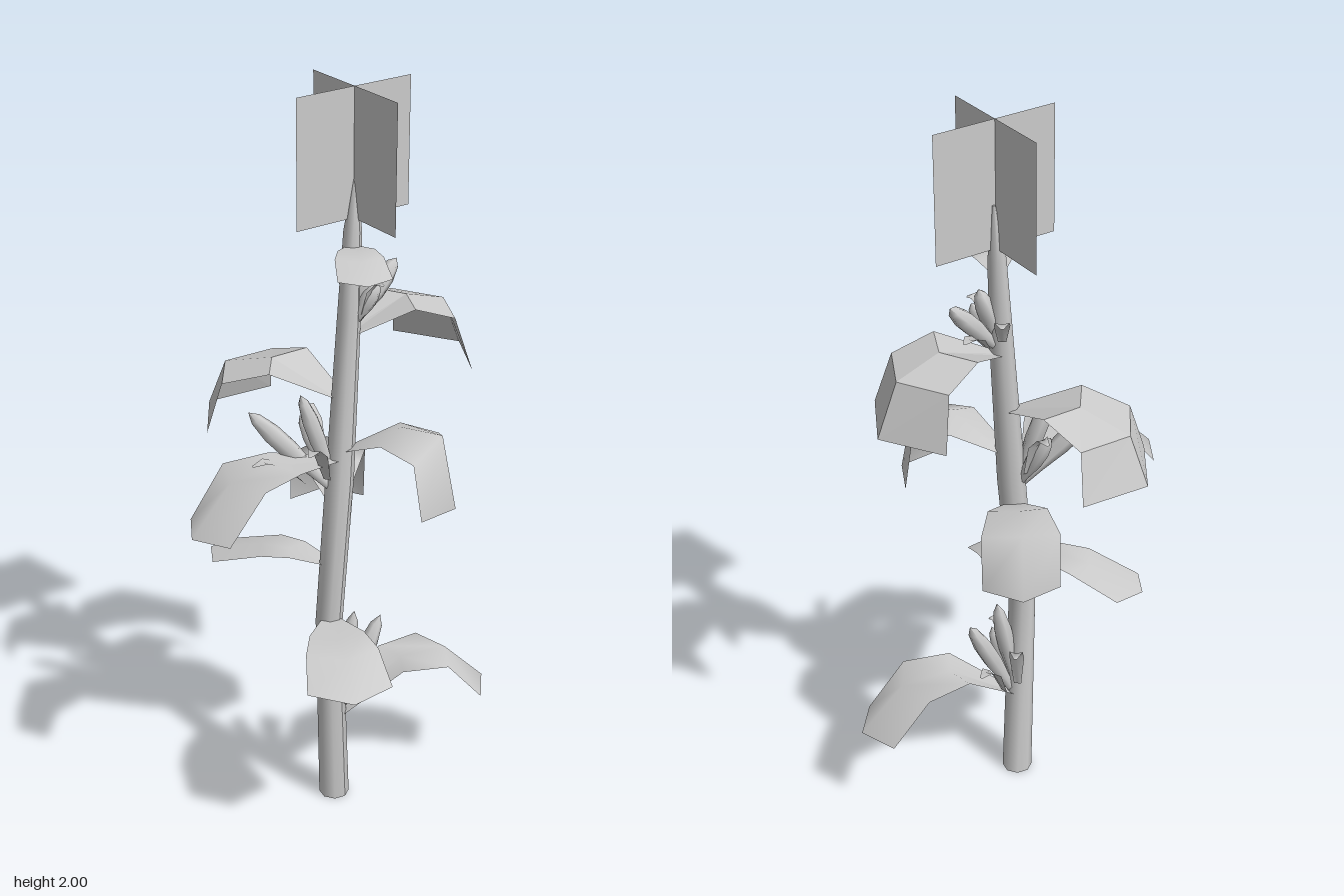
import * as THREE from 'three';

const material = (flat = false) => new THREE.MeshStandardMaterial({
  color: 0xcccccc, side: THREE.DoubleSide, flatShading: flat,
});

// Stem rings, bottom to tip: x, y, z, radius
const RINGS = [
  [0.002, 0, 0.041, 0.041], [-0.03, 0.58, 0.05, 0.036], [0.015, 0.98, 0.045, 0.037],
  [0.058, 1.42, 0.036, 0.03], [0.075, 1.64, 0.031, 0.023], [0.087, 1.785, 0.028, 0.004],
];

// Centre of the stem at a given height
function stemAt(y) {
  const i = RINGS.findIndex((ring) => ring[1] > y);
  const low = new THREE.Vector3(...RINGS[i - 1]), high = new THREE.Vector3(...RINGS[i]);
  return low.clone().lerp(high, (y - low.y) / (high.y - low.y));
}

function makeStem() {
  const n = RINGS.length - 1;
  const geo = new THREE.CylinderGeometry(1, 1, n, 8, n);
  const p = geo.attributes.position;
  for (let i = 0; i < p.count; i++) {
    const [x, y, z, r] = RINGS[Math.round(p.getY(i) + n / 2)];
    p.setXYZ(i, x + p.getX(i) * r, y, z + p.getZ(i) * r);
  }
  geo.computeVertexNormals();
  const mesh = new THREE.Mesh(geo, material());
  mesh.name = 'stem';
  return mesh;
}

// Strip three points across, in its own frame: x out, y up, z across.
// rows = [distance out, height, half width, lag of the side points, drop of the side points]
function makeStrip(name, rows, flat = false) {
  const pos = [], index = [];
  rows.forEach(([out, y, w, lag, drop], r) => {
    for (const s of [-1, 0, 1]) {
      const side = Math.abs(s);
      pos.push(out - side * lag, y - side * drop, w * s);
    }
    if (r === 0) return;
    for (let k = 0; k < 2; k++) {
      const a = (r - 1) * 3 + k, b = a + 3;
      index.push(a, a + 1, b + 1, a, b + 1, b);
    }
  });
  const geo = new THREE.BufferGeometry();
  geo.setAttribute('position', new THREE.Float32BufferAttribute(pos, 3));
  geo.setIndex(index);
  geo.computeVertexNormals();
  const mesh = new THREE.Mesh(geo, material(flat));
  mesh.name = name;
  return mesh;
}

// Leaf: rises from the stem to a bend, then droops to a blunt pointed tip.
// spread = width at the bend as a share of the tip, cup = drop of the sides there
function makeLeaf({ name, y, heading, length, width, bend, rise, droop, spread = 1, cup = 0, flat }) {
  const fall = flat ? 0.04 : 0.005;
  const leaf = makeStrip(name, [
    [0, 0, 0.015, 0, 0],
    [length * bend * 0.6, rise, width * spread * 0.76, width * 0.3, cup * 0.6],
    [length * bend, rise - fall, width * spread, width * 0.42, cup],
    [length, rise - droop, width, width * 0.58, 0],
  ], flat);
  leaf.position.copy(stemAt(y));
  leaf.rotation.y = -THREE.MathUtils.degToRad(heading);
  return leaf;
}

// Bud: a slender six-sided spindle, from the origin to its tip
const BUD_PROFILE = [[0.35, 0], [0.6, 0.3], [0.95, 0.55], [0.95, 0.75], [0.6, 0.92], [0.001, 1]];
function makeBud(name, tip, radius) {
  const profile = BUD_PROFILE.map(([r, t]) => new THREE.Vector2(r * radius, t * tip.length()));
  const mesh = new THREE.Mesh(new THREE.LatheGeometry(profile, 6), material());
  mesh.quaternion.setFromUnitVectors(new THREE.Vector3(0, 1, 0), tip.clone().normalize());
  mesh.name = name;
  return mesh;
}

// Small curled bract that leaves the cluster part-way up and ends at tip
function makeBract(name, tip) {
  const out = Math.hypot(tip.x, tip.z) * 0.6, up = tip.y * 0.6;
  const mesh = makeStrip(name, [
    [0, 0, 0.01, 0, 0],
    [out * 0.45, up * 0.8, 0.02, 0.008, 0],
    [out * 0.8, up * 1.08, 0.018, 0.008, 0],
    [out, up, 0.004, 0, 0],
  ]);
  mesh.position.copy(tip).multiplyScalar(0.4);
  mesh.rotation.y = -Math.atan2(tip.z, tip.x);
  return mesh;
}

// Tips as fractions of a cluster's reach and height: out, up, across
const BUD_TIPS = [[1, 0.85, 0], [0.42, 0.97, 0.05], [0.4, 0.68, 0.3]];
const BRACT_TIPS = [[1, 0.48, -0.4], [0.35, 0.7, 0.5], [0.4, 0.62, -0.6]];

function makeCluster({ name, y, heading, reach, height }) {
  const cluster = new THREE.Group();
  const tipAt = ([out, up, across]) =>
    new THREE.Vector3(out * reach, up * height, across * reach);
  BUD_TIPS.forEach((t, i) =>
    cluster.add(makeBud('bud' + (i + 1), tipAt(t), 0.027 - 0.002 * i)));
  BRACT_TIPS.forEach((t, i) => cluster.add(makeBract('bract' + (i + 1), tipAt(t))));
  cluster.position.copy(stemAt(y));
  cluster.rotation.y = -THREE.MathUtils.degToRad(heading);
  cluster.name = name;
  return cluster;
}

// Headings are degrees from +x towards +z
const LEAVES = [
  { name: 'topLeaf', y: 1.6, heading: 129, length: 0.225, width: 0.067, bend: 0.58, rise: 0.012, droop: 0.03, spread: 0.9 },
  { name: 'upperLeftLeaf', y: 1.37, heading: 11, length: 0.37, width: 0.16, bend: 0.84, rise: 0.065, droop: 0.18, spread: 0.79, flat: true },
  { name: 'upperBackLeaf', y: 1.2, heading: 257, length: 0.405, width: 0.162, bend: 0.87, rise: 0.07, droop: 0.17, spread: 0.79, flat: true },
  { name: 'middleFrontLeaf', y: 1.06, heading: 69, length: 0.31, width: 0.1, bend: 0.87, rise: 0.095, droop: 0.205, cup: 0.045 },
  { name: 'middleRightLeaf', y: 1.04, heading: 193, length: 0.452, width: 0.092, bend: 0.74, rise: 0.035, droop: 0.13, spread: 1.06 },
  { name: 'middleBackLeaf', y: 0.9, heading: 312, length: 0.305, width: 0.1, bend: 0.88, rise: 0.08, droop: 0.18, cup: 0.025 },
  { name: 'lowerBackLeaf', y: 0.74, heading: 252, length: 0.36, width: 0.072, bend: 0.58, rise: 0.02, droop: 0.05, spread: 0.9 },
  { name: 'lowerFrontLeaf', y: 0.59, heading: 128, length: 0.358, width: 0.11, bend: 0.65, rise: 0.01, droop: 0.055, spread: 0.86 },
  { name: 'bottomLeaf', y: 0.25, heading: 23, length: 0.467, width: 0.097, bend: 0.74, rise: 0.145, droop: 0.13 },
];

const CLUSTERS = [
  { name: 'lowerCluster', y: 0.23, heading: 18, reach: 0.15, height: 0.36 },
  { name: 'middleCluster', y: 0.94, heading: 221, reach: 0.23, height: 0.29 },
  { name: 'upperCluster', y: 1.38, heading: 12, reach: 0.15, height: 0.19 },
];

export function createModel() {
  const plant = new THREE.Group();
  plant.name = 'floweringPlant';
  plant.add(makeStem(), ...LEAVES.map(makeLeaf), ...CLUSTERS.map(makeCluster));

  // Crossed upright panels at the tip
  const crown = new THREE.Group();
  crown.name = 'crossedTopPanels';
  for (const turn of [0, Math.PI / 2]) {
    const panel = new THREE.Mesh(new THREE.PlaneGeometry(0.338, 0.33), material());
    panel.position.set(0.08, 1.835, 0.029);
    panel.rotation.y = turn - 0.22;
    panel.name = turn ? 'sidePanel' : 'frontPanel';
    crown.add(panel);
  }
  plant.add(crown);
  return plant;
}
